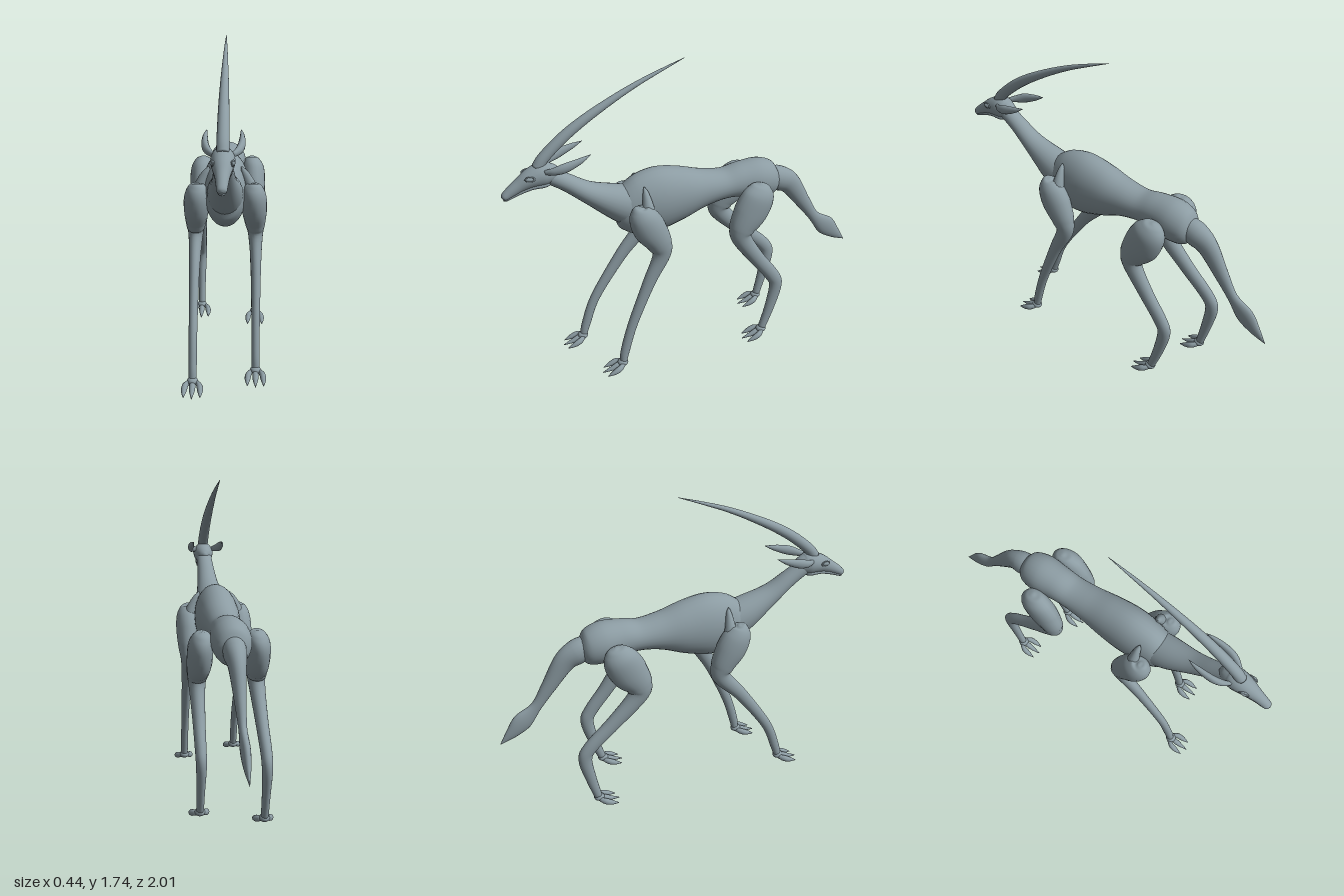
import * as THREE from 'three';

const hide = new THREE.MeshStandardMaterial({ color: 0x8c9ca3 });
hide.name = 'slate grey hide';

// Smooth tube through stations [x, y, z, halfWidthX, halfDepth], closed at both ends.
function loft(name, stations, steps = 6, sides = 20) {
  const spline = pts => new THREE.CatmullRomCurve3(pts, false, 'catmullrom', 0.5);
  const path = spline(stations.map(s => new THREE.Vector3(s[0], s[1], s[2])));
  const size = spline(stations.map(s => new THREE.Vector3(s[3], s[4], 0)));
  const rings = (stations.length - 1) * steps;
  const X = new THREE.Vector3(1, 0, 0);
  const pos = [], index = [];
  for (let i = 0; i <= rings; i++) {
    const p = path.getPoint(i / rings), r = size.getPoint(i / rings);
    const T = path.getTangent(i / rings).setX(0).normalize();
    const N = new THREE.Vector3().crossVectors(T, X);
    for (let j = 0; j < sides; j++) {
      const a = (j / sides) * Math.PI * 2;
      const u = Math.cos(a) * Math.max(r.x, 0.0005), v = Math.sin(a) * Math.max(r.y, 0.0005);
      pos.push(p.x + u, p.y + N.y * v, p.z + N.z * v);
    }
  }
  for (let i = 0; i < rings; i++) {
    for (let j = 0; j < sides; j++) {
      const k = (j + 1) % sides;
      const a = i * sides + j, b = i * sides + k, c = a + sides, d = b + sides;
      index.push(a, b, c, b, d, c);
    }
  }
  const first = stations[0], last = stations[stations.length - 1], c0 = pos.length / 3;
  pos.push(first[0], first[1], first[2], last[0], last[1], last[2]);
  for (let j = 0; j < sides; j++) {
    const k = (j + 1) % sides;
    index.push(c0, k, j, c0 + 1, rings * sides + j, rings * sides + k);
  }
  const geo = new THREE.BufferGeometry();
  geo.setAttribute('position', new THREE.Float32BufferAttribute(pos, 3));
  geo.setIndex(index);
  geo.computeVertexNormals();
  const mesh = new THREE.Mesh(geo, hide);
  mesh.name = name;
  return mesh;
}

function ellipsoid(name, x, y, z, rx, ry, rz) {
  const mesh = new THREE.Mesh(new THREE.SphereGeometry(1, 20, 14), hide);
  mesh.name = name;
  mesh.position.set(x, y, z);
  mesh.scale.set(rx, ry, rz);
  return mesh;
}

// Foot with three clawed toes, pointing forward from the ankle.
function foot(x, z) {
  const g = new THREE.Group();
  g.name = 'foot';
  g.add(ellipsoid('ankle', x, 0.05, z + 0.003, 0.028, 0.022, 0.03));
  for (const k of [-1, 0, 1]) {
    const tip = z + (k ? 0.105 : 0.12);
    g.add(loft('toe', [
      [x + k * 0.018, 0.046, z, 0.012, 0.012],
      [x + k * 0.036, 0.036, z + 0.03, 0.016, 0.018],
      [x + k * 0.041, 0.022, z + 0.065, 0.014, 0.014],
      [x + k * 0.042, 0.007, tip, 0.002, 0.002],
    ], 4, 10));
  }
  return g;
}

// side is +1 or -1; stride moves the leg along z, growing below the elbow or knee.
function leg(name, side, upper, lower, stride) {
  const g = new THREE.Group();
  g.name = name;
  const shifted = lower.map(([x, y, z, rx, r, f]) => [x, y, z + stride * f, rx, r]);
  const all = [...upper, ...shifted].map(s => [side * s[0], ...s.slice(1)]);
  g.add(loft('limb', all));
  const end = all[all.length - 1];
  g.add(foot(end[0], end[2]));
  return g;
}

export function createModel() {
  const model = new THREE.Group();
  model.name = 'horned animal';

  model.add(loft('torso', [
    [0, 0.94, 0.425, 0.005, 0.005],
    [0, 0.94, 0.41, 0.06, 0.08],
    [0, 0.94, 0.375, 0.088, 0.13],
    [0, 0.945, 0.3, 0.107, 0.17],
    [0, 0.965, 0.18, 0.12, 0.184],
    [0, 0.973, 0.05, 0.115, 0.155],
    [0, 0.978, -0.08, 0.1, 0.108],
    [0, 0.98, -0.2, 0.092, 0.086],
    [0, 0.985, -0.3, 0.096, 0.1],
    [0, 0.975, -0.4, 0.105, 0.116],
    [0, 0.955, -0.48, 0.09, 0.1],
    [0, 0.95, -0.52, 0.055, 0.06],
    [0, 0.95, -0.53, 0.005, 0.005],
  ], 6, 28));

  model.add(loft('neck', [
    [0, 0.95, 0.32, 0.095, 0.12],
    [0, 1.0, 0.42, 0.088, 0.095],
    [0, 1.08, 0.56, 0.062, 0.058],
    [0, 1.16, 0.67, 0.049, 0.046],
    [0, 1.22, 0.76, 0.045, 0.045],
  ], 6, 24));

  model.add(loft('head', [
    [0, 1.235, 0.695, 0.008, 0.008],
    [0, 1.233, 0.715, 0.032, 0.034],
    [0, 1.231, 0.75, 0.05, 0.055],
    [0, 1.232, 0.79, 0.058, 0.064],
    [0, 1.218, 0.85, 0.051, 0.052],
    [0, 1.188, 0.91, 0.036, 0.037],
    [0, 1.158, 0.96, 0.028, 0.028],
    [0, 1.138, 0.99, 0.023, 0.02],
    [0, 1.131, 1.0, 0.008, 0.008],
  ]));
  model.add(loft('lower jaw', [
    [0, 1.19, 0.74, 0.02, 0.01],
    [0, 1.184, 0.78, 0.046, 0.022],
    [0, 1.178, 0.85, 0.04, 0.019],
    [0, 1.152, 0.925, 0.027, 0.015],
    [0, 1.126, 0.98, 0.02, 0.01],
    [0, 1.119, 0.996, 0.004, 0.003],
  ]));

  model.add(loft('horn', [
    [0, 1.27, 0.81, 0.03, 0.032],
    [0, 1.32, 0.775, 0.03, 0.03],
    [0, 1.405, 0.68, 0.028, 0.029],
    [0, 1.482, 0.57, 0.025, 0.026],
    [0, 1.562, 0.43, 0.02, 0.02],
    [0, 1.632, 0.29, 0.014, 0.014],
    [0, 1.69, 0.15, 0.008, 0.008],
    [0, 1.74, 0.02, 0.001, 0.001],
  ]));

  model.add(loft('tail', [
    [0, 0.97, -0.47, 0.055, 0.06],
    [0, 0.945, -0.54, 0.06, 0.072],
    [0, 0.895, -0.615, 0.045, 0.062],
    [0, 0.755, -0.71, 0.03, 0.042],
    [0, 0.645, -0.785, 0.021, 0.032],
    [0, 0.565, -0.865, 0.025, 0.056],
    [0, 0.5, -0.93, 0.018, 0.036],
    [0, 0.438, -1.0, 0.001, 0.001],
  ]));

  // Limb sections; the last number of a lower station is its share of the stride.
  const foreUpper = [
    [0.145, 1.015, 0.325, 0.01, 0.01],
    [0.145, 1.0, 0.325, 0.042, 0.048],
    [0.147, 0.95, 0.31, 0.063, 0.078],
    [0.15, 0.875, 0.275, 0.066, 0.088],
    [0.155, 0.785, 0.228, 0.054, 0.07],
  ];
  const foreLower = [
    [0.158, 0.705, 0.217, 0.038, 0.05, 0.03],
    [0.16, 0.55, 0.29, 0.027, 0.036, 0.4],
    [0.16, 0.3, 0.39, 0.022, 0.028, 0.85],
    [0.16, 0.13, 0.44, 0.021, 0.026, 0.95],
    [0.16, 0.05, 0.455, 0.02, 0.02, 1],
  ];
  const hindUpper = [
    [0.14, 1.015, -0.375, 0.01, 0.01],
    [0.142, 0.997, -0.37, 0.042, 0.058],
    [0.148, 0.945, -0.35, 0.063, 0.094],
    [0.15, 0.855, -0.305, 0.066, 0.102],
    [0.155, 0.77, -0.255, 0.056, 0.077],
  ];
  const hindLower = [
    [0.158, 0.7, -0.255, 0.044, 0.055, 0.05],
    [0.16, 0.55, -0.35, 0.034, 0.043, 0.45],
    [0.162, 0.42, -0.445, 0.03, 0.04, 0.8],
    [0.162, 0.34, -0.475, 0.028, 0.038, 0.85],
    [0.162, 0.19, -0.442, 0.022, 0.03, 0.9],
    [0.162, 0.05, -0.395, 0.02, 0.022, 1],
  ];
  model.add(leg('left front leg', 1, foreUpper, foreLower, 0));
  model.add(leg('right front leg', -1, foreUpper, foreLower, 0.14));
  model.add(leg('left hind leg', 1, hindUpper, hindLower, 0));
  model.add(leg('right hind leg', -1, hindUpper, hindLower, -0.115));

  // Paired parts
  for (const s of [-1, 1]) {
    model.add(loft('ear', [
      [s * 0.045, 1.258, 0.785, 0.012, 0.012],
      [s * 0.07, 1.268, 0.745, 0.018, 0.02],
      [s * 0.085, 1.285, 0.69, 0.018, 0.026],
      [s * 0.088, 1.312, 0.61, 0.012, 0.016],
      [s * 0.082, 1.335, 0.552, 0.001, 0.001],
    ], 5, 14));
    model.add(loft('shoulder blade', [
      [s * 0.145, 0.95, 0.275, 0.035, 0.04],
      [s * 0.125, 1.01, 0.275, 0.03, 0.028],
      [s * 0.1, 1.065, 0.277, 0.02, 0.016],
      [s * 0.085, 1.093, 0.28, 0.004, 0.004],
    ], 5, 14));
    // Eye with a raised lid
    const eye = ellipsoid('eye', s * 0.046, 1.236, 0.862, 0.012, 0.013, 0.022);
    const lid = new THREE.Mesh(new THREE.TorusGeometry(1, 0.22, 8, 24), hide);
    lid.name = 'eyelid';
    lid.position.set(s * 0.048, 1.236, 0.862);
    lid.rotation.y = Math.PI / 2 - s * 0.2;
    lid.scale.set(0.023, 0.013, 0.018);
    model.add(eye, lid);
  }
  return model;
}
